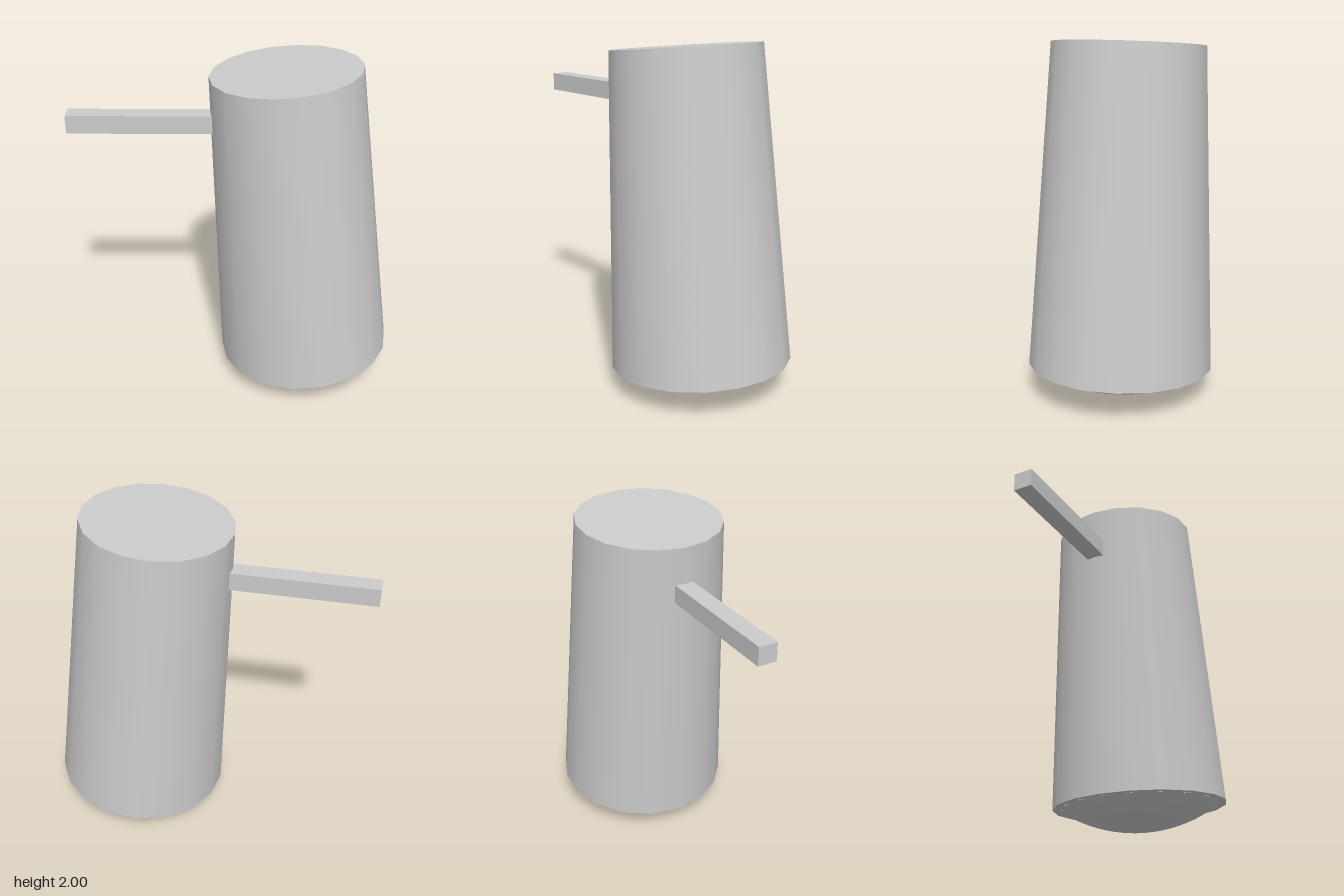
import * as THREE from 'three';

export function createModel() {
  const model = new THREE.Group();
  const material = new THREE.MeshStandardMaterial({ color: 0xcccccc });
  const openMaterial = new THREE.MeshStandardMaterial({ color: 0xcccccc, side: THREE.DoubleSide });

  const SIDES = 18;
  const TILT = THREE.MathUtils.degToRad(5);
  const height = 1.821, topR = 0.432, baseR = 0.527, innerR = 0.48;

  const add = (parent, name, geometry, mat = material) => {
    const mesh = new THREE.Mesh(geometry, mat);
    mesh.name = name;
    parent.add(mesh);
    return mesh;
  };

  // Leaning body, with its origin at the centre of the open base
  const body = new THREE.Group();
  body.name = 'body';
  body.position.set(0.435, 0.15, 0);
  body.rotation.z = TILT;
  model.add(body);

  // Tapered outer wall, a corner on the x axis
  add(body, 'wall', new THREE.CylinderGeometry(topR, baseR, height, SIDES, 1, true, Math.PI / 2))
    .position.y = height / 2;

  // Flat top
  const top = add(body, 'top', new THREE.CircleGeometry(topR, SIDES));
  top.rotation.x = -Math.PI / 2;
  top.position.y = height;

  // Flat rim around the base, facing down
  add(body, 'rim', new THREE.RingGeometry(innerR, baseR, SIDES, 1)).rotation.x = Math.PI / 2;

  // Short inner lip above the rim
  add(body, 'innerLip', new THREE.CylinderGeometry(innerR, innerR, 0.06, SIDES, 1, true, Math.PI / 2), openMaterial)
    .position.y = 0.03;

  // Shallow dome bulging out of the base: a cap of a large sphere
  const domeR = 0.863, domeCentre = 0.72;
  const capAngle = Math.acos(domeCentre / domeR);
  add(body, 'dome', new THREE.SphereGeometry(domeR, 32, 12, 0, Math.PI * 2, Math.PI - capAngle, capAngle), openMaterial)
    .position.y = domeCentre;

  // Straight square handle, level with the ground
  const handleEnd = -0.965, handleRoot = -0.11;
  add(model, 'handle', new THREE.BoxGeometry(handleRoot - handleEnd, 0.107, 0.11))
    .position.set((handleEnd + handleRoot) / 2, 1.657, 0);

  return model;
}
